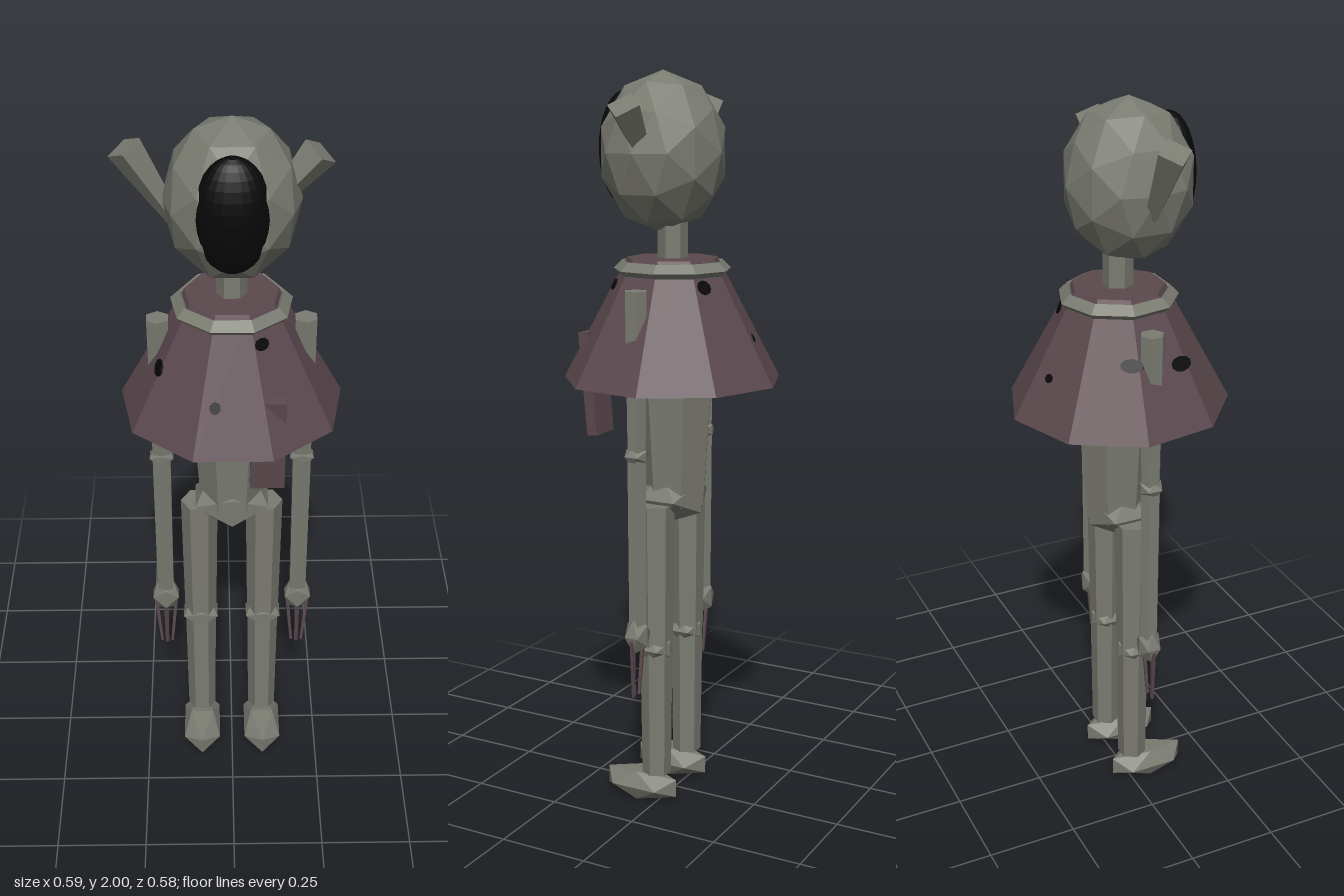
import * as THREE from 'three';

const makeMaterial = (name, color) => {
  const m = new THREE.MeshStandardMaterial({ color, flatShading: true });
  m.name = name;
  return m;
};

export function createModel() {
  const model = new THREE.Group();
  const stone = makeMaterial('stone grey', 0x7a7b71);
  const cloth = makeMaterial('dull purple', 0x5b494e);
  const black = makeMaterial('black', 0x080808);

  const add = (name, geometry, material, x = 0, y = 0, z = 0, parent = model) => {
    const mesh = new THREE.Mesh(geometry, material);
    mesh.name = name;
    mesh.position.set(x, y, z);
    parent.add(mesh);
    return mesh;
  };

  // Tapered prism standing between two heights
  const prism = (name, mat, rTop, rBottom, y0, y1, sides, x, z, turn = 0, parent = model) => {
    const g = new THREE.CylinderGeometry(rTop, rBottom, y1 - y0, sides);
    g.rotateY(turn);
    return add(name, g, mat, x, (y0 + y1) / 2, z, parent);
  };

  // Faceted joint given by its half extents
  const joint = (name, x, y, z, hx, hy, hz, parent = model) => {
    const g = new THREE.IcosahedronGeometry(1 / 0.8507, 0);
    g.scale(hx, hy, hz);
    return add(name, g, stone, x, y, z, parent);
  };

  // Thin rod between two points
  const rod = (name, mat, from, to, rFrom, rTo, sides, parent = model) => {
    const a = new THREE.Vector3(...from), b = new THREE.Vector3(...to);
    const dir = b.clone().sub(a);
    const mesh = add(name, new THREE.CylinderGeometry(rTo, rFrom, dir.length(), sides), mat, 0, 0, 0, parent);
    mesh.position.copy(a).add(b).multiplyScalar(0.5);
    mesh.quaternion.setFromUnitVectors(new THREE.Vector3(0, 1, 0), dir.normalize());
    return mesh;
  };

  // Head with a dark oval face
  const head = new THREE.IcosahedronGeometry(1, 1);
  head.scale(0.171, 0.21, 0.171);
  add('head', head, stone, 0, 1.79, 0.035);
  const face = new THREE.SphereGeometry(1, 24, 16);
  face.scale(0.095, 0.15, 0.06);
  add('face', face, black, 0, 1.8, 0.149);

  // Flared horns, uneven in reach
  rod('rightHorn', stone, [-0.14, 1.735, 0.033], [-0.255, 1.922, 0.033], 0.02, 0.045, 4);
  rod('leftHorn', stone, [0.09, 1.76, 0.033], [0.21, 1.91, 0.033], 0.02, 0.047, 4);

  // Neck, torso and pelvis
  prism('neck', stone, 0.04, 0.04, 1.45, 1.63, 6, 0, 0.007, Math.PI / 6);
  prism('torso', stone, 0.128, 0.086, 0.85, 1.45, 7, 0, 0.0, Math.PI);
  joint('pelvis', 0, 0.87, 0.005, 0.1, 0.07, 0.085);

  // Closed nine-sided cape with its collar
  prism('cape', cloth, 0.122, 0.297, 1.19, 1.517, 9, 0, 0.007, Math.PI);
  const collar = new THREE.TorusGeometry(0.136, 0.023, 4, 9);
  collar.rotateX(Math.PI / 2).rotateY(Math.PI / 2);
  add('collar', collar, stone, 0, 1.487, 0.007);

  // Cloth strip hanging below the cape
  const strip = add('hangingStrip', new THREE.BoxGeometry(0.09, 0.28, 0.03), cloth, 0.09, 1.18, 0.194);
  strip.rotation.x = 0.09;

  // Dark spots on the cape: angle about y, height, half width, half height
  const spots = [
    [-0.2, 1.31, 0.014, 0.016], [-1.12, 1.35, 0.03, 0.02], [0.49, 1.445, 0.022, 0.016],
    [2.63, 1.45, 0.022, 0.02], [3.35, 1.31, 0.012, 0.012], [4.45, 1.37, 0.03, 0.018],
  ];
  const slope = Math.atan2(0.175 * 0.94, 0.327);
  for (const [angle, y, w, h] of spots) {
    // Distance out to the flat cape panel at this angle
    const radius = 0.122 + (1.517 - y) * 0.535;
    const step = Math.PI * 2 / 9;
    const panel = Math.round(angle / step) * step;
    const out = radius * Math.cos(Math.PI / 9) / Math.cos(angle - panel);
    const g = new THREE.CylinderGeometry(1, 1, 0.005, 10);
    g.rotateX(Math.PI / 2).scale(w, h, 1).rotateX(-slope).rotateY(panel);
    add('capeSpot', g, black, Math.sin(angle) * out, y, Math.cos(angle) * out + 0.007);
  }

  // Arms and legs, mirrored
  for (const side of [1, -1]) {
    const label = side > 0 ? 'left' : 'right';
    const arm = new THREE.Group();
    arm.name = label + 'Arm';
    model.add(arm);
    const ax = side * 0.19, az = 0.012;
    prism('upperArm', stone, 0.032, 0.027, 1.01, 1.447, 6, ax, az, 0, arm);
    joint('elbow', ax, 1.015, az, 0.032, 0.024, 0.03, arm);
    prism('forearm', stone, 0.028, 0.026, 0.55, 1.01, 6, ax, az, 0, arm);
    joint('hand', ax, 0.52, az, 0.037, 0.048, 0.03, arm);
    for (const [dx, dz] of [[-0.03, 0], [0, 0.014], [0.03, 0]]) {
      rod('finger', cloth, [ax + dx, 0.51, az + dz], [ax + dx * 0.5, 0.345, az + 0.005 + dz * 0.5],
        0.007, 0.005, 4, arm);
    }

    const leg = new THREE.Group();
    leg.name = label + 'Leg';
    model.add(leg);
    const lx = side * 0.09, lz = 0.01;
    prism('thigh', stone, 0.051, 0.045, 0.45, 0.86, 6, lx, lz, Math.PI / 6, leg);
    joint('knee', lx, 0.455, lz + 0.002, 0.049, 0.034, 0.046, leg);
    prism('shin', stone, 0.044, 0.04, 0.085, 0.45, 6, lx, lz, Math.PI / 6, leg);
    joint('foot', lx, 0.044, 0.057, 0.053, 0.041, 0.108, leg);
  }

  return model;
}
